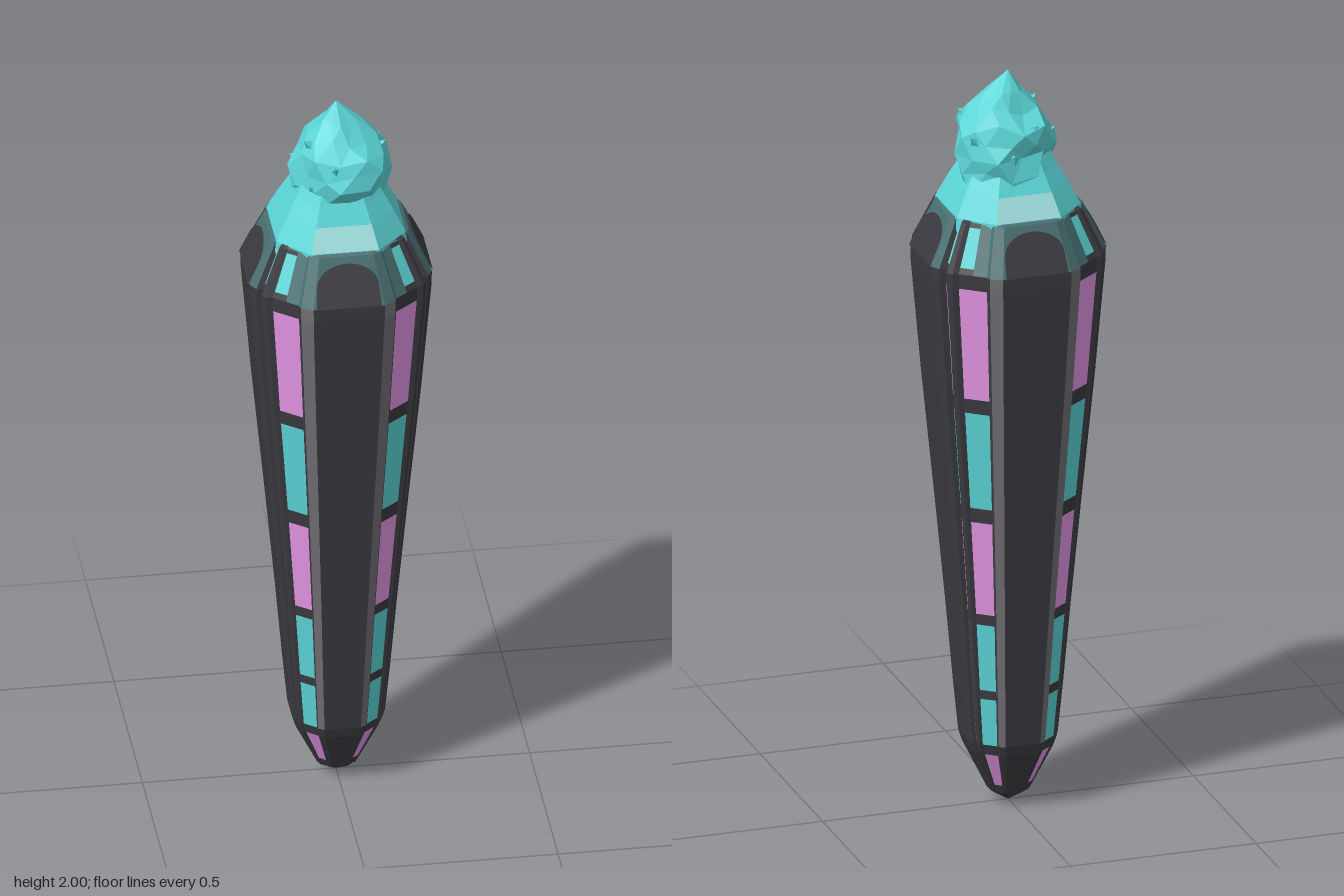
import * as THREE from 'three';

const mat = (name, color) => {
  const m = new THREE.MeshStandardMaterial({ color, side: THREE.DoubleSide, flatShading: true });
  m.name = name;
  return m;
};

// Skin closed rings (bottom to top); pick(row, col) chooses the material of each quad
function loft(name, rings, pick) {
  const group = new THREE.Group();
  group.name = name;
  const byMat = new Map();
  for (let r = 0; r < rings.length - 1; r++) {
    const n = rings[r].length;
    for (let c = 0; c < n; c++) {
      const d = (c + 1) % n, m = pick(r, c);
      if (!byMat.has(m)) byMat.set(m, []);
      const [a, b, e, f] = [rings[r][c], rings[r][d], rings[r + 1][c], rings[r + 1][d]];
      byMat.get(m).push(...a, ...e, ...b, ...b, ...e, ...f);
    }
  }
  for (const [m, pos] of byMat) {
    const g = new THREE.BufferGeometry();
    g.setAttribute('position', new THREE.Float32BufferAttribute(pos, 3));
    g.computeVertexNormals();
    const mesh = new THREE.Mesh(g, m);
    mesh.name = `${name} ${m.name}`;
    group.add(mesh);
  }
  return group;
}

// Mirror a quarter outline (x axis to z axis) into a full ring of [x, z]
function mirrorQuarter(q) {
  const back = q.slice(0, -1).reverse();
  const half = [...q, ...back.map(([x, z]) => [-x, z])];
  return [...half, ...half.slice(1, -1).reverse().map(([x, z]) => [x, -z])];
}
const ringAt = (outline, y, s) => outline.map(([x, z]) => [x * s, y, z * s]);

function lookup(table, y) {
  for (let i = 1; i < table.length; i++) {
    const [y0, s0] = table[i - 1], [y1, s1] = table[i];
    if (y <= y1) return s0 + (s1 - s0) * (y - y0) / (y1 - y0);
  }
  return table[table.length - 1][1];
}

export function createModel() {
  const dark = mat('charcoal', 0x3b3a40);
  const grey = mat('grey', 0x727076);
  const teal = mat('teal', 0x5cd6d8);
  const pale = mat('pale teal', 0xa2e2e2);
  const slate = mat('slate teal', 0x486e70);
  const violet = mat('orchid', 0xe596e6);
  const model = new THREE.Group();
  model.name = 'crystalSpire';

  // Casing: flat faces, grooves and recessed banded panels on the diagonals
  const quarter = [[0.235, 0], [0.235, 0.085], [0.222, 0.11], [0.205, 0.113], [0.203, 0.132],
    [0.212, 0.14], [0.202, 0.155], [0.186, 0.158], [0.156, 0.182], [0.126, 0.206],
    [0.122, 0.218], [0.092, 0.235], [0, 0.235]];
  const segs = quarter.length - 1;
  const outline = mirrorQuarter(quarter);
  const taper = [[0, 0], [0.035, 0.22], [0.17, 0.49], [0.2, 0.52], [0.5, 0.625], [0.8, 0.74],
    [1.2, 0.9], [1.49, 1], [1.52, 1], [1.64, 0.76]];
  // Each band: top height and its panel colour
  const bands = [[0.035, dark], [0.06, dark], [0.16, violet], [0.19, dark], [0.32, teal],
    [0.345, dark], [0.53, teal], [0.56, dark], [0.82, violet], [0.86, dark], [1.13, teal],
    [1.17, dark], [1.48, violet], [1.52, dark], [1.535, dark], [1.63, teal], [1.64, dark]];
  const rings = [ringAt(outline, 0, 0), ...bands.map(([y]) => ringAt(outline, y, lookup(taper, y))),
    ringAt(outline, 1.645, 0.72), ringAt(outline, 1.61, 0.66)];
  model.add(loft('casing', rings, (r, c) => {
    const i = c % segs, k = Math.floor(c / segs) % 2 ? segs - 1 - i : i;
    const shoulder = r >= 14;
    const band = r < bands.length ? bands[r][1] : slate;
    if (k === 3) return r > 3 && r < 7 ? slate : band;
    if (k === 7) return band;
    if (k === 8) return shoulder ? slate : band;
    if (shoulder && (k < 2 || k > 8)) return slate;
    return k === 10 && r > 3 ? grey : dark;
  }));

  // Arched plates where the flat faces run over the shoulder
  for (let i = 0; i < 4; i++) {
    const arch = new THREE.Shape();
    arch.moveTo(-0.084, 0);
    arch.lineTo(0.084, 0);
    arch.lineTo(0.08, 0.055);
    arch.absellipse(0, 0.055, 0.08, 0.06, 0, Math.PI, false);
    const g = new THREE.ShapeGeometry(arch, 10);
    g.rotateX(-Math.atan2(0.056, 0.12)).translate(0, 1.521, 0.238).rotateY(i * Math.PI / 2);
    const plate = new THREE.Mesh(g, dark);
    plate.name = 'shoulderArch';
    model.add(plate);
  }

  // Eight-sided dome with pale patches front and back
  const octagon = mirrorQuarter([[0.172, 0], [0.172, 0.09], [0.09, 0.172], [0, 0.172]]);
  const domeRows = [[1.61, 1], [1.645, 0.97], [1.705, 0.8], [1.75, 0.66], [1.79, 0.55], [1.8, 0]];
  model.add(loft('dome', domeRows.map(([y, s]) => ringAt(octagon, y, s)),
    (r, c) => (r === 1 && [2, 3, 8, 9].includes(c) ? pale : teal)));

  // Rough pointed crystal head
  let seed = 11;
  const rand = () => (seed = (seed * 16807) % 2147483647) / 2147483647;
  const headRows = [[1.69, 0.125], [1.75, 0.115], [1.79, 0.122], [1.83, 0.128], [1.87, 0.11],
    [1.91, 0.082], [1.95, 0.048], [2, 0]];
  const headRings = headRows.map(([y, rad], r) => Array.from({ length: 11 }, (_, i) => {
    const a = (i + 0.5 * r) / 11 * Math.PI * 2;
    const k = rad * (0.87 + 0.26 * rand());
    const h = rad ? (rand() - 0.5) * 0.03 : 0;
    const lean = rad ? 0.012 : 0;
    return [Math.cos(a) * k + lean, y + h, Math.sin(a) * k];
  }));
  model.add(loft('head', headRings, () => teal));

  // Broad shards breaking the head's surface
  for (let i = 0; i < 10; i++) {
    const a = i * 2.4, y = 1.76 + 0.014 * i;
    const rad = lookup(headRows, y) * 0.82;
    const shard = new THREE.Mesh(new THREE.ConeGeometry(0.042, 0.075, 4), teal);
    shard.name = 'shard';
    shard.position.set(Math.cos(a) * rad + 0.012, y, Math.sin(a) * rad);
    shard.quaternion.setFromUnitVectors(new THREE.Vector3(0, 1, 0),
      new THREE.Vector3(Math.cos(a), 0.8, Math.sin(a)).normalize());
    model.add(shard);
  }
  return model;
}
